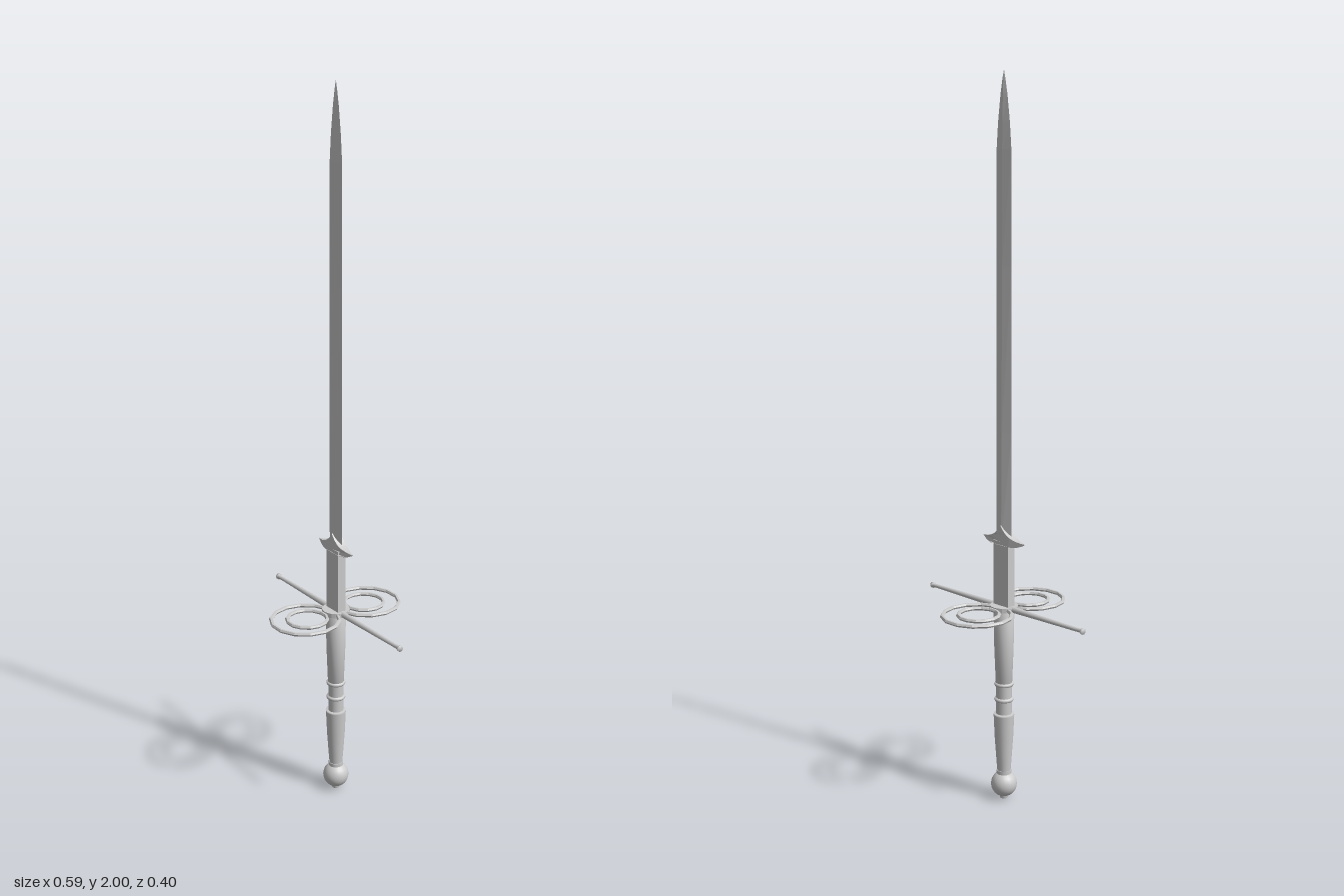
import * as THREE from 'three';

const smooth = new THREE.MeshStandardMaterial({ color: 0xcccccc });
const flat = new THREE.MeshStandardMaterial({ color: 0xcccccc, flatShading: true });

function lathe(points, sides) {
  return new THREE.LatheGeometry(points.map(([r, y]) => new THREE.Vector2(r, y)), sides);
}

// Diamond cross-sections [y, half width, half thickness] joined into a blade
function bladeGeometry(sections) {
  const pos = [], index = [];
  for (const [y, w, t] of sections) pos.push(w, y, 0, 0, y, t, -w, y, 0, 0, y, -t);
  for (let s = 0; s < sections.length - 1; s++) {
    for (let i = 0; i < 4; i++) {
      const a = s * 4 + i, b = s * 4 + (i + 1) % 4;
      index.push(a, a + 4, b, b, a + 4, b + 4);
    }
  }
  index.push(0, 1, 2, 0, 2, 3);
  const g = new THREE.BufferGeometry();
  g.setAttribute('position', new THREE.Float32BufferAttribute(pos, 3));
  g.setIndex(index);
  // Corner order: outward for the +x, +z, -x, -z ring
  const flatGeo = g.toNonIndexed();
  flatGeo.computeVertexNormals();
  return flatGeo;
}

// Swept parrying lugs, thinning in z towards the tips
function lugGeometry() {
  const s = new THREE.Shape();
  s.moveTo(0, 0.8);
  s.quadraticCurveTo(0.025, 0.762, 0.08, 0.759);
  s.quadraticCurveTo(0.055, 0.742, 0.03, 0.745);
  s.lineTo(-0.03, 0.745);
  s.quadraticCurveTo(-0.055, 0.742, -0.08, 0.759);
  s.quadraticCurveTo(-0.025, 0.762, 0, 0.8);
  const g = new THREE.ExtrudeGeometry(s, { depth: 2, bevelEnabled: false, curveSegments: 8 });
  const p = g.attributes.position;
  for (let i = 0; i < p.count; i++) {
    const taper = Math.min(1, (0.082 - Math.abs(p.getX(i))) / 0.052);
    p.setZ(i, (p.getZ(i) - 1) * 0.0135 * taper);
  }
  g.computeVertexNormals();
  return g;
}

export function createModel() {
  const group = new THREE.Group();
  const add = (name, geometry, material) => {
    const mesh = new THREE.Mesh(geometry, material);
    mesh.name = name;
    group.add(mesh);
    return mesh;
  };

  // Blade with a central ridge
  add('blade', bladeGeometry([
    [0.75, 0.029, 0.011], [1.06, 0.029, 0.009], [1.5, 0.028, 0.0075], [1.8, 0.027, 0.0065],
    [1.87, 0.0215, 0.0055], [1.94, 0.0125, 0.004], [1.98, 0.005, 0.002], [2, 0.0003, 0.0003],
  ]), flat);
  add('ricasso', new THREE.BoxGeometry(0.056, 0.19, 0.025), flat).position.y = 0.66;
  add('parryingLugs', lugGeometry(), flat);

  // Crossguard: a bar along x with flared ends
  const half = [[0.0085, 0.04], [0.007, 0.14], [0.0055, 0.27], [0.0055, 0.286], [0.0085, 0.288], [0.0085, 0.294], [0, 0.294]];
  const bar = [...half.map(([r, y]) => [r, -y]).reverse(), ...half];
  const guard = add('crossguard', lathe(bar, 10), smooth);
  guard.rotation.z = Math.PI / 2;
  guard.position.y = 0.566;
  add('guardCollar', new THREE.CylinderGeometry(0.039, 0.039, 0.013, 20), flat).position.y = 0.566;

  // Two side rings, front and back
  for (const side of [1, -1]) {
    const label = side > 0 ? 'front' : 'back';
    for (const [name, radius, z] of [['OuterRing', 0.095, 0.104], ['InnerRing', 0.056, 0.0975]]) {
      const ring = add(label + name, new THREE.TorusGeometry(radius, 0.0055, 6, 14), flat);
      ring.rotation.x = Math.PI / 2;
      ring.position.set(0, 0.566, side * z);
    }
  }

  // Grip: tapered upper half, two raised bands, flared lower half
  add('upperGrip', lathe([[0, 0.345], [0.023, 0.345], [0.027, 0.45], [0.029, 0.56], [0, 0.56]], 16), smooth);
  add('gripWaist', new THREE.CylinderGeometry(0.022, 0.022, 0.1, 16), smooth).position.y = 0.3;
  for (const y of [0.342, 0.297]) {
    add('gripBand', lathe([[0.02, y - 0.006], [0.026, y - 0.004], [0.0275, y], [0.026, y + 0.004], [0.02, y + 0.006]], 16), smooth);
  }
  add('lowerGrip', lathe([[0.018, 0.07], [0.021, 0.11], [0.026, 0.18], [0.029, 0.25], [0.0285, 0.255], [0, 0.256]], 16), smooth);

  // Pommel
  add('pommelCollar', new THREE.CylinderGeometry(0.021, 0.021, 0.01, 16), smooth).position.y = 0.08;
  const pommel = add('pommel', new THREE.SphereGeometry(0.037, 20, 14), smooth);
  pommel.position.y = 0.043;
  add('pommelButton', new THREE.CylinderGeometry(0.013, 0.011, 0.012, 12), smooth).position.y = 0.006;

  return group;
}
